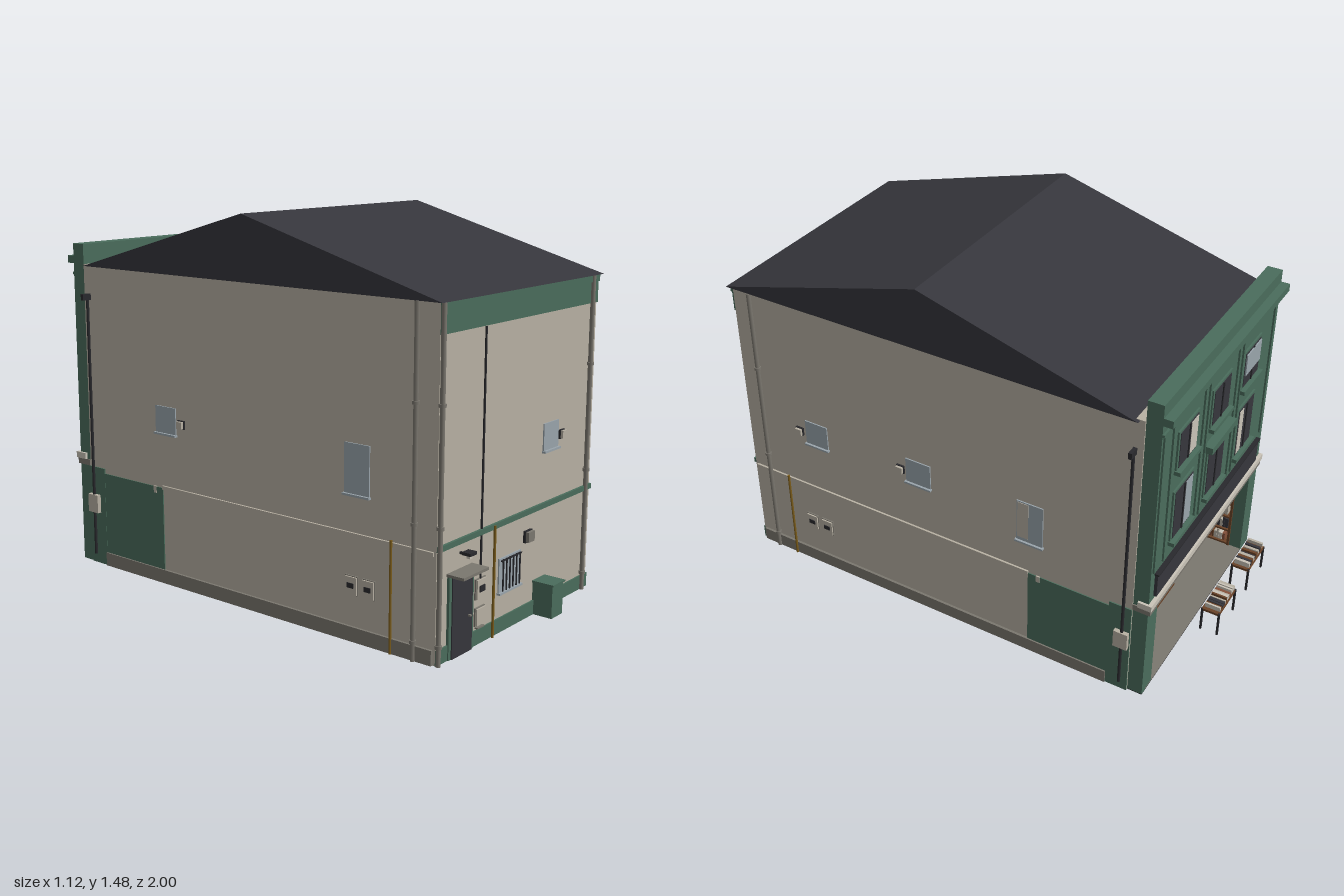
import * as THREE from 'three';

const mat = (name, color) => {
  const m = new THREE.MeshStandardMaterial({ color });
  m.name = name;
  return m;
};

export function createModel() {
  const cream = mat('cream render', 0xb8b1a3), green = mat('shop green', 0x4a6d5c);
  const slate = mat('slate charcoal', 0x36363c), stone = mat('stone grey', 0x7b776f);
  const glass = mat('pale glass', 0x9aa5ac), wood = mat('brown wood', 0x6a4328);
  const brass = mat('brass pipe', 0x7d5e1c), pale = mat('pale paper', 0xcac4b8);
  const black = mat('black iron', 0x29292d), rust = mat('rust cover', 0x84513a);

  let seed = 7;
  const rnd = () => (seed = (seed * 16807) % 2147483647) / 2147483647;

  const model = new THREE.Group();
  model.name = 'cornerBookshop';

  // Box given by its limits
  const box = (parent, name, m, x0, x1, y0, y1, z0, z1) => {
    const b = new THREE.Mesh(new THREE.BoxGeometry(x1 - x0, y1 - y0, z1 - z0), m);
    b.position.set((x0 + x1) / 2, (y0 + y1) / 2, (z0 + z1) / 2);
    b.name = name;
    parent.add(b);
    return b;
  };
  // Local wall frame: x along the wall, z outward
  const face = (name, x, z, rot) => {
    const g = new THREE.Group();
    g.name = name;
    g.position.set(x, 0, z);
    g.rotation.y = rot;
    model.add(g);
    return g;
  };
  const pipe = (parent, name, m, x, y0, y1, r, z = r) => {
    const p = new THREE.Mesh(new THREE.CylinderGeometry(r, r, y1 - y0, 10), m);
    p.position.set(x, (y0 + y1) / 2, z);
    p.name = name;
    parent.add(p);
  };
  const drainpipe = (parent, x, top = 1.235) => {
    pipe(parent, 'drainpipe', stone, x, 0, top, 0.009, 0.011);
    for (const y of [0.07, 0.485, 0.9]) pipe(parent, 'pipeCollar', stone, x, y - 0.006, y + 0.006, 0.013, 0.011);
  };
  const sideWindow = (parent, x0, x1, y0, y1) => {
    box(parent, 'windowPane', glass, x0, x1, y0, y1, 0, 0.005);
    box(parent, 'windowSill', glass, x0 - 0.004, x1 + 0.004, y0 - 0.008, y0, 0, 0.014);
  };
  const vent = (parent, x) => {
    box(parent, 'ventFrame', black, x - 0.017, x + 0.017, 0.643, 0.677, 0, 0.008);
    box(parent, 'ventCover', cream, x - 0.014, x + 0.014, 0.646, 0.674, 0, 0.018);
  };
  const meter = (parent, x, w, y0, y1, dial = true) => {
    box(parent, 'meterEdge', stone, x - w / 2 - 0.003, x + w / 2 + 0.003, y0 - 0.003, y1 + 0.003, 0, 0.006);
    box(parent, 'meterBox', cream, x - w / 2, x + w / 2, y0, y1, 0, 0.012);
    if (dial) box(parent, 'meterDial', black, x - w * 0.28, x + w * 0.28, y0 + 0.025, y1 - 0.022, 0.012, 0.015);
  };

  // Main walls, with the shop room left open at the back
  box(model, 'rearBody', cream, -0.53, 0.505, 0, 1.24, -0.4, 0.91);
  box(model, 'upperBody', cream, -0.53, 0.505, 0.4, 1.24, -0.82, -0.4);
  box(model, 'shopWallLeft', cream, 0.47, 0.505, 0, 0.4, -0.82, -0.4);
  box(model, 'shopWallRight', cream, -0.53, -0.495, 0, 0.4, -0.82, -0.4);
  box(model, 'shopFloor', stone, -0.495, 0.47, 0.003, 0.008, -0.88, -0.4);
  box(model, 'floorSlab', black, -0.525, 0.5, 0, 0.003, -0.88, -0.4);

  // Gabled roof
  const gable = new THREE.Shape([[-0.93, 1.236], [0.8, 1.236], [-0.06, 1.48]].map(p => new THREE.Vector2(...p)));
  const roof = new THREE.Mesh(new THREE.ExtrudeGeometry(gable, { depth: 1.07, bevelEnabled: false }), slate);
  roof.rotation.y = Math.PI / 2;
  roof.position.x = -0.55;
  roof.name = 'gableRoof';
  model.add(roof);

  // Front wall
  const front = face('frontWall', 0, 0.91, 0);
  box(front, 'baseBand', green, -0.53, 0.505, 0, 0.055, 0, 0.006);
  box(front, 'middleBand', green, -0.53, 0.505, 0.4, 0.42, 0, 0.01);
  box(front, 'topBand', green, -0.53, 0.505, 1.13, 1.21, 0, 0.006);
  box(front, 'eavesBand', green, -0.53, 0.505, 1.21, 1.236, 0, 0.012);
  box(front, 'doorFrame', green, -0.465, -0.315, 0, 0.3, 0, 0.01);
  box(front, 'door', slate, -0.45, -0.327, 0, 0.292, 0, 0.014);
  box(front, 'doorHandle', stone, -0.355, -0.345, 0.13, 0.136, 0.014, 0.024);
  box(front, 'doorCanopy', stone, -0.47, -0.315, 0.3, 0.31, 0, 0.07);
  box(front, 'lampArm', black, -0.395, -0.385, 0.362, 0.37, 0, 0.04);
  box(front, 'lampShade', black, -0.41, -0.37, 0.366, 0.377, 0.02, 0.055);
  box(front, 'lampBulb', pale, -0.397, -0.383, 0.353, 0.366, 0.03, 0.045);
  pipe(front, 'cable', black, -0.265, 0.24, 1.128, 0.004);
  meter(front, -0.265, 0.056, 0.17, 0.24);
  meter(front, -0.265, 0.056, 0.073, 0.134, false);
  box(front, 'meterShelf', stone, -0.288, -0.242, 0.06, 0.065, 0, 0.012);
  pipe(front, 'gasPipe', brass, -0.19, 0, 0.415, 0.005, 0.012);
  sideWindow(front, -0.145, 0, 0.152, 0.278);
  for (let i = 0; i < 6; i++) pipe(front, 'windowBar', black, -0.128 + i * 0.0225, 0.155, 0.275, 0.003, 0.012);
  box(front, 'barRail', black, -0.14, -0.005, 0.268, 0.273, 0.008, 0.014);
  box(front, 'extractorEdge', black, 0.022, 0.07, 0.296, 0.34, 0, 0.01);
  box(front, 'extractor', stone, 0.025, 0.067, 0.299, 0.337, 0, 0.022);
  box(front, 'utilityCabinet', green, 0.1, 0.178, 0, 0.125, 0, 0.084);
  box(front, 'cabinetLid', green, 0.095, 0.183, 0.125, 0.132, 0, 0.09);
  sideWindow(front, 0.14, 0.245, 0.618, 0.72);
  vent(front, 0.27);
  drainpipe(front, 0.457);
  drainpipe(front, -0.527);

  // Side walls: s maps model z to the wall's own x
  for (const s of [1, -1]) {
    const side = face(s > 0 ? 'leftWall' : 'rightWall', s > 0 ? 0.505 : -0.53, 0, s * Math.PI / 2);
    const span = (name, m, z0, z1, y0, y1, d) =>
      box(side, name, m, Math.min(-s * z0, -s * z1), Math.max(-s * z0, -s * z1), y0, y1, 0, d);
    const win = (z0, z1, y0, y1) => sideWindow(side, Math.min(-s * z0, -s * z1), Math.max(-s * z0, -s * z1), y0, y1);
    span('sidePlinth', stone, -0.73, 0.9, 0, 0.055, 0.01);
    span('greenPatch', green, -0.73, -0.39, 0.055, 0.39, 0.004);
    span('greenCorner', green, -0.82, -0.73, 0, 0.41, 0.005);
    span('sideLedge', cream, -0.39, 0.9, 0.385, 0.4, 0.008);
    span('patchNotch', cream, -0.44, -0.425, 0.365, 0.392, 0.006);
    drainpipe(side, -s * 0.825);
    pipe(side, 'gasPipe', brass, -s * 0.73, 0, 0.41, 0.005, 0.012);
    pipe(side, 'darkPipe', black, s * 0.79, 0.04, 1.12, 0.006, 0.012);
    span('pipeElbow', black, -0.797, -0.783, 1.1, 1.125, 0.04);
    span('junctionBox', cream, -0.817, -0.76, 0.22, 0.295, 0.022);
    for (const z of [0.555, 0.63]) meter(side, -s * z, 0.05, 0.175, 0.24);
    if (s > 0) {
      win(0.515, 0.62, 0.615, 0.72);
      win(0.035, 0.145, 0.615, 0.72);
      win(-0.45, -0.34, 0.54, 0.72);
      span('windowCurtain', cream, -0.39, -0.345, 0.555, 0.715, 0.007);
      vent(side, -0.65);
      vent(side, -0.17);
    } else {
      win(0.52, 0.63, 0.54, 0.72);
      win(-0.42, -0.31, 0.615, 0.72);
      vent(side, -0.28);
    }
  }

  // Shopfront: local x is mirrored model x
  const shop = face('shopfront', -0.015, -0.82, Math.PI);
  box(shop, 'facade', green, -0.515, 0.515, 0.41, 1.32, 0, 0.06);
  box(shop, 'parapetCornice', green, -0.515, 0.515, 1.24, 1.27, 0.06, 0.095);
  box(shop, 'cornicePlinth', green, -0.515, 0.515, 1.195, 1.205, 0.06, 0.068);
  for (const x of [-0.515, 0.435]) box(shop, 'shopPilaster', green, x, x + 0.08, 0, 0.41, 0, 0.06);
  for (const x of [-0.505, -0.43, -0.17, -0.13, 0.13, 0.17, 0.47]) box(shop, 'facadeStrip', green, x, x + 0.015, 0.6, 1.195, 0.06, 0.067);
  box(shop, 'shopLintel', stone, -0.52, 0.52, 0.41, 0.435, 0, 0.07);
  box(shop, 'shopCornice', pale, -0.525, 0.525, 0.435, 0.46, 0.02, 0.075);
  box(shop, 'signBoard', slate, -0.48, 0.455, 0.475, 0.575, 0.06, 0.072);
  box(shop, 'signEdge', black, -0.485, 0.46, 0.575, 0.582, 0.06, 0.078);

  // Six framed shop windows, with panes and curtains
  [-0.3, -0.015, 0.265].forEach((x, i) => {
    [[0.98, 1.125], [0.665, 0.87]].forEach(([y0, y1], j) => {
      box(shop, 'windowFrame', green, x - 0.085, x + 0.085, y0 - 0.01, y1 + 0.01, 0.06, 0.067);
      box(shop, 'windowGlass', slate, x - 0.072, x + 0.072, y0, y1, 0.06, 0.069);
      box(shop, 'windowSill', green, x - 0.09, x + 0.09, y0 - 0.022, y0 - 0.006, 0.06, 0.085);
      box(shop, 'windowMullion', black, x - 0.004, x + 0.004, y0, y1, 0.06, 0.073);
      if (i === 0) box(shop, 'windowCurtain', j ? glass : pale, x + 0.012, x + 0.068, y0 + 0.006, y1 - 0.006, 0.06, 0.071);
      if (i === 2 && !j) box(shop, 'windowBlind', glass, x - 0.068, x + 0.068, y0 + 0.05, y1 - 0.006, 0.06, 0.074);
      if (i === 2 && j) box(shop, 'windowCurtain', pale, x - 0.068, x - 0.03, y0 + 0.006, y1 - 0.006, 0.06, 0.071);
      if (i === 1 && j) box(shop, 'windowHood', green, x - 0.11, x + 0.11, y1 + 0.012, y1 + 0.04, 0.06, 0.095);
    });
  });

  // Bookshelves facing local +z, filled with books of varied size
  const covers = [rust, pale, slate, wood, cream, green];
  const shelf = (name, x, z, rot, w, h) => {
    const g = face(name, x, z, rot), rows = 5;
    box(g, 'shelfBack', wood, -w / 2, w / 2, 0.008, h, 0, 0.006);
    for (const e of [-w / 2, w / 2 - 0.01]) box(g, 'shelfEnd', wood, e, e + 0.01, 0.008, h, 0, 0.05);
    for (let r = 0; r <= rows; r++) {
      const y = 0.012 + r * (h - 0.02) / rows;
      box(g, 'shelfBoard', wood, -w / 2, w / 2, y, y + 0.008, 0, 0.05);
      if (r < rows) for (let u = -w / 2 + 0.012; u < w / 2 - 0.025;) {
        const t = 0.008 + rnd() * 0.009;
        box(g, 'book', covers[Math.floor(rnd() * 5)], u, u + t - 0.001, y + 0.008, y + 0.038 + rnd() * 0.022, 0.006, 0.04);
        u += t;
      }
    }
  };
  shelf('backShelf', -0.012, -0.402, Math.PI, 0.86, 0.37);
  shelf('leftShelf', 0.468, -0.63, -Math.PI / 2, 0.4, 0.37);
  shelf('rightShelf', -0.493, -0.63, Math.PI / 2, 0.4, 0.37);

  // Display counter in the middle of the shop
  const counter = face('displayCounter', -0.02, -0.65, 0);
  box(counter, 'counterBase', wood, -0.085, 0.085, 0.008, 0.1, -0.085, 0.085);
  box(counter, 'counterTop', wood, -0.095, 0.095, 0.1, 0.108, -0.095, 0.095);
  for (let i = 0; i < 5; i++) {
    box(counter, 'bookRow', [slate, green, black, green, slate][i], -0.082 + i * 0.034, -0.054 + i * 0.034, 0.108, 0.13, -0.08, 0.08);
  }

  // Pavement book tables
  for (const [x, w] of [[-0.315, 0.17], [-0.017, 0.17]]) {
    const t = face('bookTable', x, -0.96, 0), a = w / 2;
    box(t, 'tableTop', wood, -a, a, 0.1, 0.11, -0.038, 0.036);
    for (const lx of [-a, a - 0.008]) for (const lz of [-0.04, 0.03]) {
      box(t, 'tableLeg', black, lx, lx + 0.008, 0, 0.11, lz, lz + 0.008);
    }
    for (let u = -a + 0.008; u < a - 0.016;) {
      const s = 0.009 + rnd() * 0.008;
      box(t, 'tableBook', covers[Math.floor(rnd() * 5)], u, u + s - 0.002, 0.11, 0.122 + rnd() * 0.014, -0.034, 0.03);
      u += s;
    }
  }
  return model;
}
